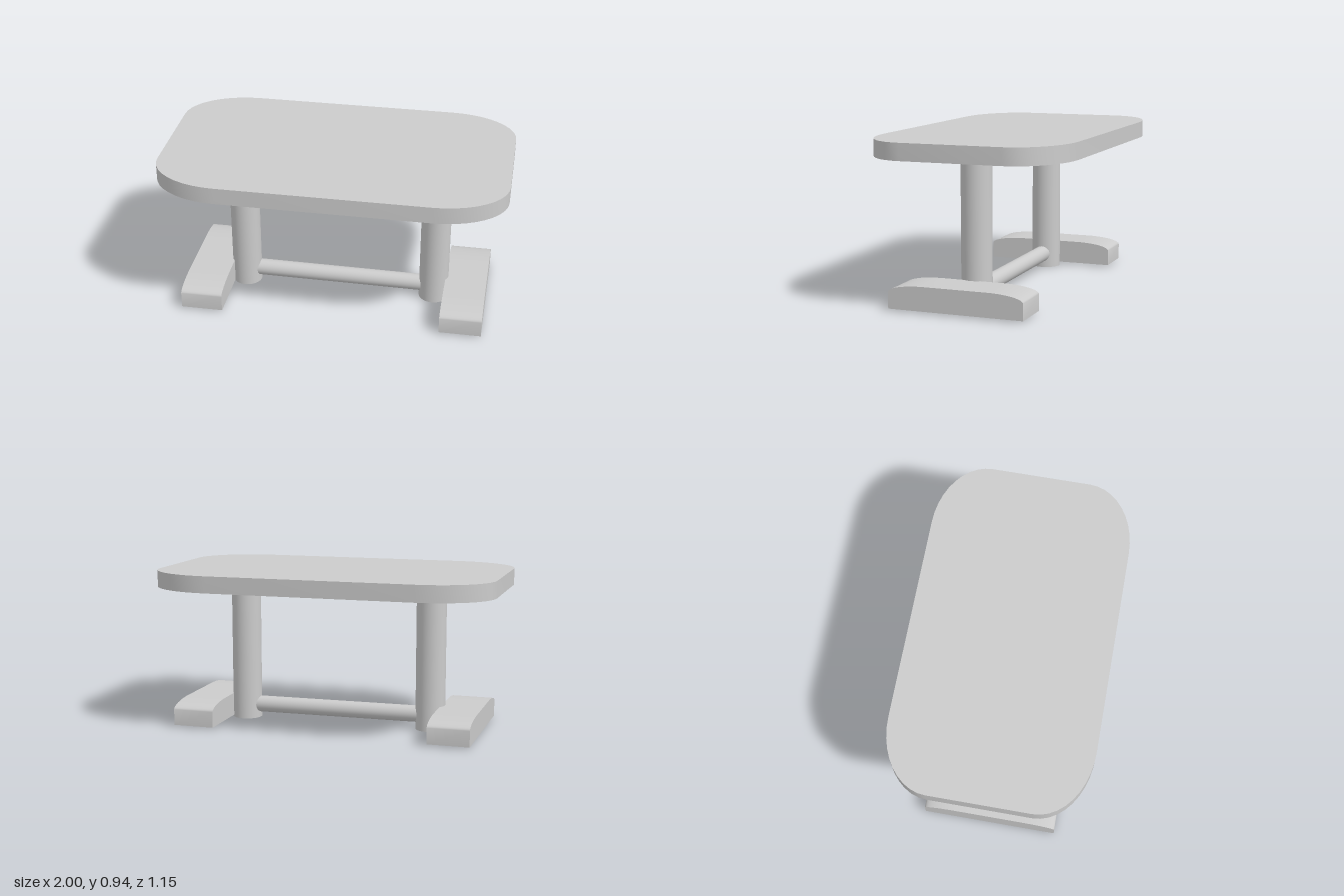
import * as THREE from 'three';
import { toCreasedNormals } from 'three/addons/utils/BufferGeometryUtils.js';

const material = new THREE.MeshStandardMaterial({ color: 0xcccccc });

function addMesh(parent, name, geometry) {
  const mesh = new THREE.Mesh(geometry, material);
  mesh.name = name;
  parent.add(mesh);
  return mesh;
}

// Straight extrusion centred on its depth, smooth around the curves only
function slab(shape, depth) {
  const geometry = new THREE.ExtrudeGeometry(shape, { depth, bevelEnabled: false, curveSegments: 5 });
  geometry.translate(0, 0, -depth / 2);
  return toCreasedNormals(geometry, 0.62);
}

// Rectangle with elliptical corners
function topShape(hx, hz, rx, rz) {
  const s = new THREE.Shape();
  s.moveTo(hx, -hz + rz);
  s.lineTo(hx, hz - rz);
  s.absellipse(hx - rx, hz - rz, rx, rz, 0, Math.PI / 2);
  s.absellipse(-hx + rx, hz - rz, rx, rz, Math.PI / 2, Math.PI);
  s.absellipse(-hx + rx, -hz + rz, rx, rz, Math.PI, Math.PI * 1.5);
  s.absellipse(hx - rx, -hz + rz, rx, rz, Math.PI * 1.5, Math.PI * 2);
  return s;
}

// Flat-bottomed side profile with softly rounded upper ends
function footShape(half, bottom, top, rx, ry) {
  const s = new THREE.Shape();
  s.moveTo(-half, bottom);
  s.lineTo(half, bottom);
  s.lineTo(half, top - ry);
  s.absellipse(half - rx, top - ry, rx, ry, 0, Math.PI / 2);
  s.absellipse(-half + rx, top - ry, rx, ry, Math.PI / 2, Math.PI);
  return s;
}

export function createModel() {
  const group = new THREE.Group();
  group.name = 'table';
  const baseZ = 0.022;

  // Table top
  const top = addMesh(group, 'tableTop', slab(topShape(1, 0.577, 0.4, 0.287), 0.097).rotateX(-Math.PI / 2));
  top.position.y = 0.8875;

  // Columns and feet
  const columnGeometry = new THREE.CylinderGeometry(0.0875, 0.0875, 0.84, 48);
  const footGeometry = slab(footShape(0.394, 0.01, 0.147, 0.21, 0.043), 0.245).rotateY(Math.PI / 2);
  for (const [side, columnX, footX] of [['right', -0.568, -0.758], ['left', 0.582, 0.777]]) {
    addMesh(group, side + 'Column', columnGeometry).position.set(columnX, 0.42, baseZ);
    addMesh(group, side + 'Foot', footGeometry).position.set(footX, 0, baseZ);
  }

  // Stretcher bar between the columns, very slightly tilted
  const bar = addMesh(group, 'stretcher', new THREE.CylinderGeometry(0.049, 0.049, 1.1, 32));
  bar.position.set(0.007, 0.083, baseZ);
  bar.rotation.z = Math.PI / 2 - 0.004;

  return group;
}
